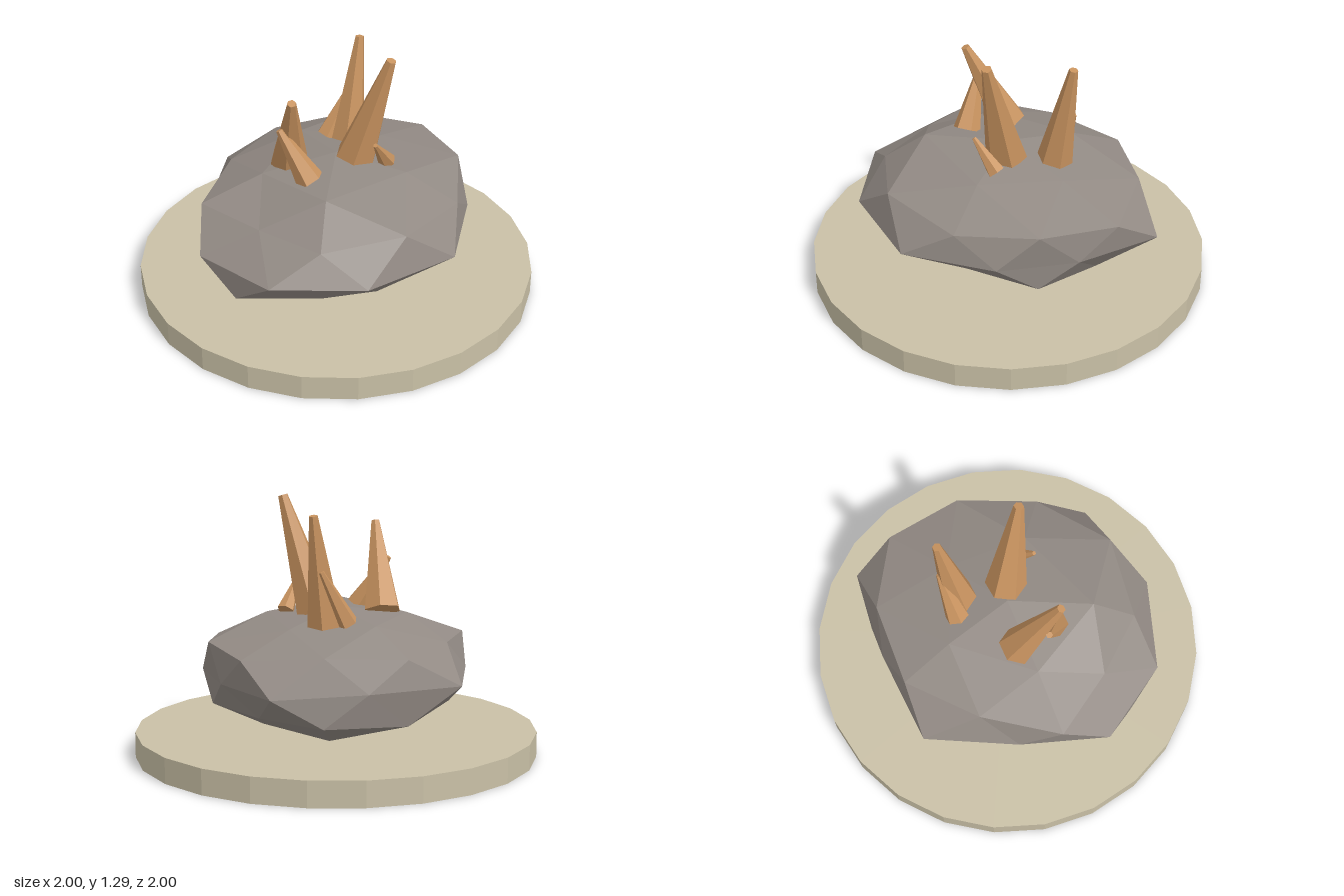
import * as THREE from 'three';

const mat = (name, color) => {
  const m = new THREE.MeshStandardMaterial({ color, flatShading: true });
  m.name = name;
  return m;
};

// Faceted boulder: rings of a subdivided icosahedron, each point with its own radius
function boulderGeometry() {
  const pos = [];
  const ring = (radii, startDeg, stepDeg, lats) => radii.map((r, i) => {
    const a = THREE.MathUtils.degToRad(startDeg + stepDeg * i);
    const dy = lats[i % lats.length], h = Math.sqrt(1 - dy * dy);
    return [r * h * Math.cos(a), 0.427 + 0.405 * r * dy, 0.885 * r * h * Math.sin(a)];
  });
  const top = [0, 0.737, 0], bottom = [0, 0.125, 0];
  const A = ring([0.70, 0.77, 0.84, 0.75, 0.75], 0, 72, [0.851]);
  const B = ring([0.81, 0.80, 0.78, 0.845, 0.74, 0.68, 0.80, 0.74, 0.78, 0.80], 0, 36, [0.447, 0.526]);
  const C = ring([0.685, 0.715, 0.825, 0.81, 0.804, 0.80, 0.70, 0.84, 0.71, 0.825], 18, 36, [0]);
  const D = ring([0.70, 0.74, 0.65, 0.71, 0.72, 0.844, 0.74, 0.72, 0.82, 0.82], 0, 36, [-0.526, -0.447]);
  const E = ring([0.75, 0.84, 0.72, 0.79, 0.80], 36, 72, [-0.851]);
  const at = (list, i) => list[(i + list.length) % list.length];
  const tri = (a, b, c) => pos.push(...a, ...b, ...c);

  for (let i = 0; i < 5; i++) {
    const a0 = A[i], a1 = at(A, i + 1), e0 = E[i], e1 = at(E, i + 1), k = 2 * i;
    // crown
    tri(top, a1, a0);
    tri(a0, at(B, k + 1), B[k]);
    tri(a0, a1, at(B, k + 1));
    tri(a1, at(B, k + 2), at(B, k + 1));
    // underside
    tri(at(D, k + 1), at(D, k + 2), e0);
    tri(at(D, k + 2), at(D, k + 3), e1);
    tri(at(D, k + 2), e1, e0);
    tri(e0, e1, bottom);
  }
  // belt
  for (let i = 0; i < 10; i++) {
    tri(B[i], at(B, i + 1), C[i]);
    tri(B[i], C[i], at(C, i - 1));
    tri(at(C, i - 1), C[i], D[i]);
    tri(C[i], at(D, i + 1), D[i]);
  }
  const g = new THREE.BufferGeometry();
  g.setAttribute('position', new THREE.Float32BufferAttribute(pos, 3));
  g.computeVertexNormals();
  return g;
}

// Tapered six-sided crystal running from base to tip
function crystal(name, base, tip, radius, tipRadius, material) {
  const a = new THREE.Vector3(...base), b = new THREE.Vector3(...tip);
  const dir = b.clone().sub(a);
  const mesh = new THREE.Mesh(new THREE.CylinderGeometry(tipRadius, radius, dir.length(), 6), material);
  mesh.position.copy(a).add(b).multiplyScalar(0.5);
  mesh.quaternion.setFromUnitVectors(new THREE.Vector3(0, 1, 0), dir.normalize());
  mesh.name = name;
  return mesh;
}

export function createModel() {
  const model = new THREE.Group();
  model.name = 'crystalRock';
  const sand = mat('sand', 0xc9c0a6);
  const stone = mat('stone', 0x928a84);
  const amber = mat('amber', 0xc8935f);

  // Round base plate
  const base = new THREE.Mesh(new THREE.CylinderGeometry(1, 1, 0.125, 24), sand);
  base.position.y = 0.0625;
  base.name = 'basePlate';
  model.add(base);

  // Boulder
  const rock = new THREE.Mesh(boulderGeometry(), stone);
  rock.name = 'boulder';
  model.add(rock);

  // Three large crystals, each with a smaller one beside it
  const crystals = new THREE.Group();
  crystals.name = 'crystals';
  [
    ['frontCrystal', [0.06, 0.71, 0.075], [0.105, 1.28, 0.25], 0.105, 0.025],
    ['frontSmallCrystal', [0.13, 0.71, 0.215], [0.005, 0.86, 0.24], 0.045, 0.011],
    ['leftCrystal', [0.22, 0.68, -0.1], [0.32, 1.215, -0.11], 0.09, 0.022],
    ['leftSmallCrystal', [0.17, 0.69, -0.19], [0.3, 0.95, -0.14], 0.06, 0.015],
    ['rightCrystal', [-0.165, 0.71, -0.165], [-0.31, 1.135, -0.015], 0.095, 0.022],
    ['rightSmallCrystal', [-0.25, 0.71, 0.04], [-0.305, 0.96, -0.1], 0.07, 0.017],
  ].forEach((c) => crystals.add(crystal(...c, amber)));
  model.add(crystals);

  return model;
}
